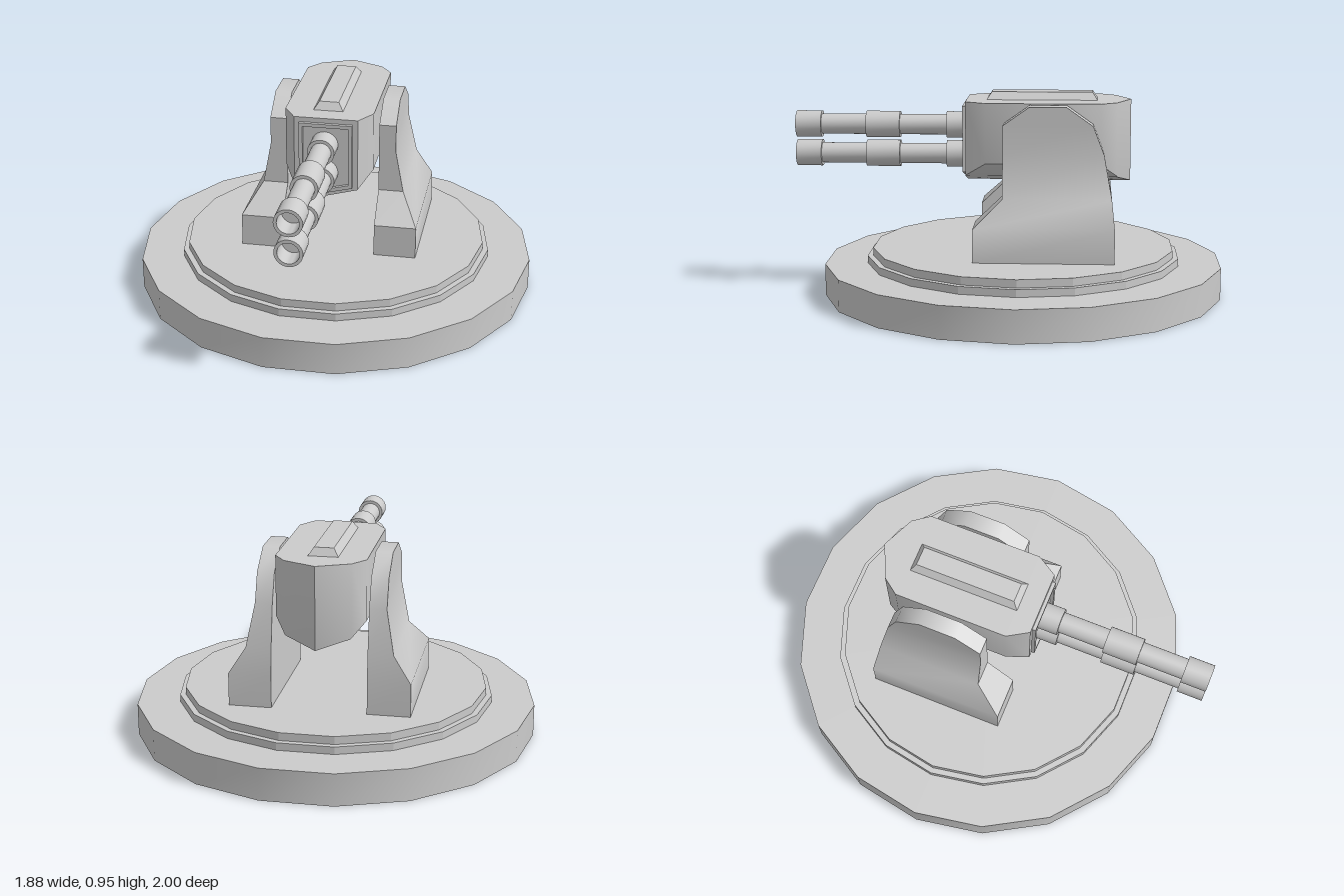
import * as THREE from 'three';
import { toCreasedNormals } from 'three/addons/utils/BufferGeometryUtils.js';

const material = new THREE.MeshStandardMaterial({ color: 0xcccccc });

function addMesh(parent, name, geometry, crease = 0.7) {
  const mesh = new THREE.Mesh(toCreasedNormals(geometry, crease), material);
  mesh.name = name;
  parent.add(mesh);
  return mesh;
}

// Skins a stack of convex rings (counter-clockwise seen from the last ring) and caps both ends
function loft(rings) {
  const out = [];
  const tri = (a, b, c) => {
    const [A, B, C] = [a, b, c].map((p) => new THREE.Vector3(...p));
    if (B.sub(A).cross(C.sub(A)).length() > 1e-9) out.push(...a, ...b, ...c);
  };
  const n = rings[0].length;
  for (let i = 0; i < rings.length - 1; i++) {
    for (let j = 0; j < n; j++) {
      const k = (j + 1) % n;
      const [a, b, c, d] = [rings[i][j], rings[i][k], rings[i + 1][k], rings[i + 1][j]];
      tri(a, b, c);
      tri(a, c, d);
    }
  }
  const first = rings[0], last = rings[rings.length - 1];
  for (let j = 1; j < n - 1; j++) {
    tri(first[0], first[j + 1], first[j]);
    tri(last[0], last[j], last[j + 1]);
  }
  const geometry = new THREE.BufferGeometry();
  geometry.setAttribute('position', new THREE.Float32BufferAttribute(out, 3));
  return geometry;
}

// Five-sided front plate outline with a pointed lower edge
function plateOutline(PathType, w, top, low, tip) {
  const path = new PathType();
  path.moveTo(-w, top);
  path.lineTo(-w, low);
  path.lineTo(0, tip);
  path.lineTo(w, low);
  path.lineTo(w, top);
  path.closePath();
  return path;
}

export function createModel() {
  const model = new THREE.Group();
  model.name = 'turret';
  const centreZ = -0.073;

  // Stepped round base
  const discs = [
    ['basePlate', 0.94, 0, 0.15, 0.7],
    ['lowerRing', 0.74, 0.15, 0.185, 0.1],
    ['upperRing', 0.713, 0.185, 0.222, 0.1],
  ];
  for (const [name, r, y0, y1, crease] of discs) {
    const disc = new THREE.CylinderGeometry(r, r, y1 - y0, 18);
    disc.rotateY(Math.PI / 2);
    disc.translate(0, (y0 + y1) / 2, centreZ);
    addMesh(model, name, disc, crease);
  }

  // Side brackets: height, outer x, front z, back z
  const levels = [
    [0.222, 0.415, 0.14, -0.5],
    [0.375, 0.415, 0.14, -0.5],
    [0.5, 0.335, 0.01, -0.487],
    [0.7, 0.297, 0.01, -0.45],
    [0.83, 0.297, 0.01, -0.4],
    [0.915, 0.297, -0.11, -0.28],
  ];
  for (const side of [1, -1]) {
    const support = new THREE.Group();
    support.name = side > 0 ? 'leftSupport' : 'rightSupport';
    model.add(support);
    const rings = levels.map(([y, outer, front, back]) => {
      const ring = [[0.218, back], [0.218, front], [outer, front], [outer, back]]
        .map(([x, z]) => [side * x, y, z]);
      return side > 0 ? ring : ring.reverse();
    });
    addMesh(support, 'bracket', loft(rings));
    const pivot = new THREE.CylinderGeometry(0.064, 0.064, 0.05, 20);
    pivot.rotateZ(Math.PI / 2);
    pivot.translate(side * 0.21, 0.79, -0.21);
    addMesh(support, 'pivot', pivot);
  }

  // Gun housing: sections from back to front, with a keeled underside
  const tip = 0.535, knee = 0.145;
  const keel = (x) => (x < knee ? tip + (x / knee) * 0.04 : 0.575 + ((x - knee) / 0.06) * 0.065);
  const stations = [[-0.577, 0], [-0.51, 0.15], [-0.435, 0.205], [0.095, 0.205], [0.19, 0.147]];
  const sections = stations.map(([z, w]) => {
    const m = Math.min(w, knee);
    return [[w, 0.92], [-w, 0.92], [-w, keel(w)], [-m, keel(m)], [0, tip], [m, keel(m)], [w, keel(w)]]
      .map(([x, y]) => [x, y, z]);
  });
  addMesh(model, 'housing', loft(sections));

  // Raised frame on the housing front
  const frame = plateOutline(THREE.Shape, 0.123, 0.897, 0.588, 0.557);
  frame.holes.push(plateOutline(THREE.Path, 0.106, 0.88, 0.602, 0.575));
  const frameGeometry = new THREE.ExtrudeGeometry(frame, { depth: 0.022, bevelEnabled: false });
  frameGeometry.translate(0, 0, 0.184);
  addMesh(model, 'frontFrame', frameGeometry);

  // Bevelled ridge on top
  const ridge = [[0.915, 0.072, 0.1, -0.423], [0.955, 0.045, 0.073, -0.397]]
    .map(([y, w, front, back]) => [[-w, back], [-w, front], [w, front], [w, back]]
      .map(([x, z]) => [x - 0.006, y, z]));
  addMesh(model, 'topRidge', loft(ridge), 0.1);

  // Twin barrels with collars and hollow muzzles
  const R = 0.0625, r = 0.048;
  const profile = [
    [0, 0.185], [R, 0.185], [R, 0.288], [r, 0.288], [r, 0.508], [R, 0.508], [R, 0.668],
    [r, 0.668], [r, 0.88], [R, 0.88], [R, 1], [r, 1], [r, 0.9], [0, 0.9],
  ].map(([x, y]) => new THREE.Vector2(x, y));
  for (const [name, y] of [['upperBarrel', 0.793], ['lowerBarrel', 0.655]]) {
    const barrel = new THREE.LatheGeometry(profile, 24);
    barrel.rotateX(Math.PI / 2);
    barrel.translate(-0.006, y, 0);
    addMesh(model, name, barrel);
  }

  return model;
}
